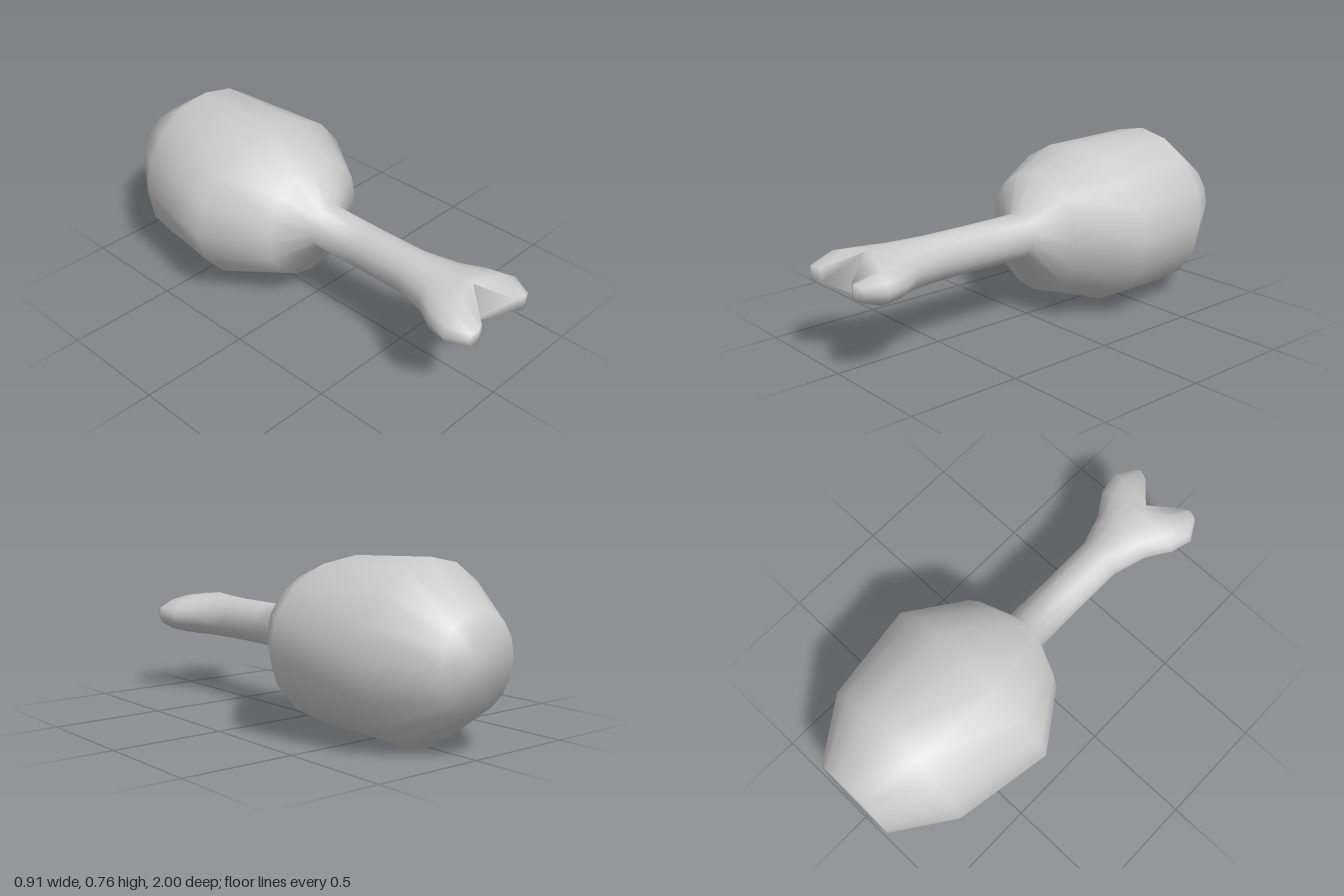
import * as THREE from 'three';

const SIDES = 16;
const CENTRE_Y = 0.382;

// Elliptical cross-sections from back to front: [z, half width, half height]
const MEAT = [[-1, 0.2, 0.2], [-0.74, 0.38, 0.38], [-0.3, 0.455, 0.36], [-0.04, 0.275, 0.272], [0.05, 0.1, 0.102]];
const BONE = [[0.3, 0.097, 0.1], [0.54, 0.1, 0.1], [0.7, 0.15, 0.1], [0.8, 0.217, 0.1]];

// Quarter outlines [x, y, z] of the forked knuckle, from its side to the notch
const KNUCKLE = [[0.245, 0, 0.9], [0.226, 0.038, 0.9], [0.173, 0.071, 0.89], [0.1, 0.092, 0.87], [0, 0.1, 0.82]];
const TIP = [[0.2, 0, 0.98], [0.185, 0.027, 0.99], [0.152, 0.034, 1], [0.112, 0.03, 0.985], [0, 0.098, 0.85]];

function ellipseRing([z, rx, ry]) {
  return Array.from({ length: SIDES }, (_, k) => {
    const a = (k / SIDES) * Math.PI * 2;
    return [Math.cos(a) * rx, Math.sin(a) * ry, z];
  });
}

// Mirrors a quarter outline into a full ring
function mirroredRing(quarter) {
  return Array.from({ length: SIDES }, (_, k) => {
    const half = k <= 8 ? k : SIDES - k;
    const [x, y, z] = quarter[half <= 4 ? half : 8 - half];
    return [half <= 4 ? x : -x, k <= 8 ? y : -y, z];
  });
}

export function createModel() {
  const rings = [...MEAT.map(ellipseRing), ...BONE.map(ellipseRing), mirroredRing(KNUCKLE), mirroredRing(TIP)];
  const points = rings.flat();
  const meatFaces = [];
  const boneFaces = [];

  // Skin between neighbouring sections
  for (let i = 0; i < rings.length - 1; i++) {
    const faces = i < MEAT.length - 1 ? meatFaces : boneFaces;
    for (let k = 0; k < SIDES; k++) {
      const a = i * SIDES + k;
      const b = i * SIDES + (k + 1) % SIDES;
      faces.push(a, b, b + SIDES, a, b + SIDES, a + SIDES);
    }
  }

  // Rounded back end of the meat
  const backCentre = points.push([0, 0, -1]) - 1;
  for (let k = 0; k < SIDES; k++) meatFaces.push(backCentre, (k + 1) % SIDES, k);

  // Front of the two knobs, with separate notch corners for a sharp crease
  const last = (rings.length - 1) * SIDES;
  for (const start of [0, 4]) {
    const top = points.push([...TIP[4]]) - 1;
    const bottom = points.push([0, -TIP[4][1], TIP[4][2]]) - 1;
    const up = (k) => (k === 4 ? top : last + k);
    const down = (k) => (k === 4 ? bottom : last + (SIDES - k) % SIDES);
    for (let k = start; k < start + 4; k++) {
      if (k !== 0) boneFaces.push(up(k), down(k + 1), down(k));
      if (k !== 7) boneFaces.push(up(k), up(k + 1), down(k + 1));
    }
  }

  // Smooth normals run across the join of meat and bone
  const whole = new THREE.BufferGeometry();
  whole.setAttribute('position', new THREE.Float32BufferAttribute(points.flatMap(([x, y, z]) => [x, y + CENTRE_Y, z]), 3));
  whole.setIndex([...meatFaces, ...boneFaces]);
  whole.computeVertexNormals();

  const material = new THREE.MeshStandardMaterial({ color: 0xcccccc });
  const group = new THREE.Group();
  group.name = 'drumstick';
  for (const [name, faces] of [['meat', meatFaces], ['bone', boneFaces]]) {
    const part = whole.clone();
    part.setIndex(faces);
    const mesh = new THREE.Mesh(part.toNonIndexed(), material);
    mesh.name = name;
    group.add(mesh);
  }
  return group;
}
